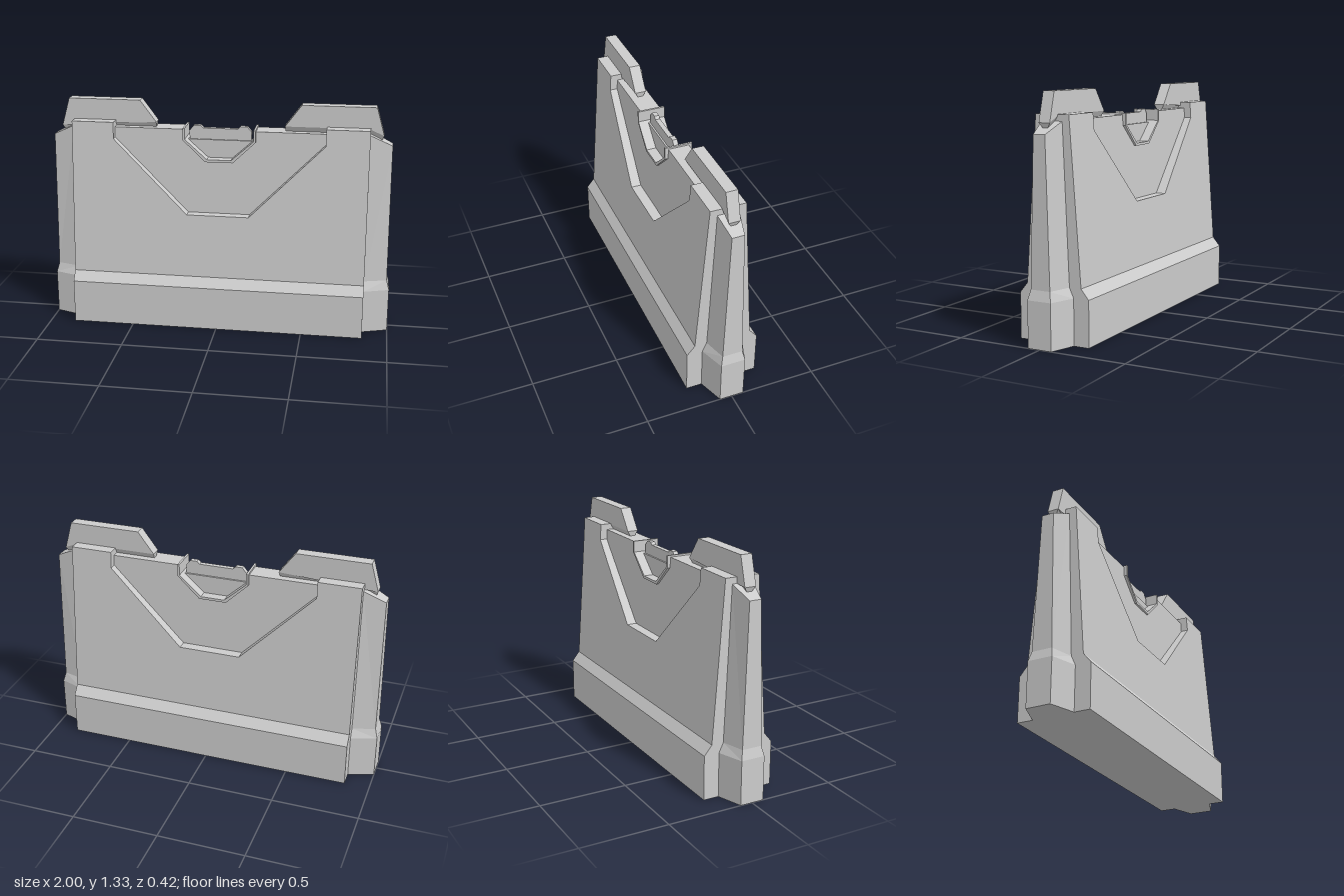
import * as THREE from 'three';

const material = new THREE.MeshStandardMaterial({ color: 0xcccccc, flatShading: true });

// Solid symmetric in z from a counter-clockwise outline of [x, y, half thickness]
function plate(name, outline) {
  const pos = [];
  const put = (p, side) => pos.push(p[0], p[1], p[2] * side);
  const flat = outline.map(p => new THREE.Vector2(p[0], p[1]));
  for (const [a, b, c] of THREE.ShapeUtils.triangulateShape(flat, [])) {
    [a, b, c].forEach(i => put(outline[i], 1));
    [c, b, a].forEach(i => put(outline[i], -1));
  }
  outline.forEach((p, i) => {
    const q = outline[(i + 1) % outline.length];
    put(p, 1); put(p, -1); put(q, -1);
    put(p, 1); put(q, -1); put(q, 1);
  });
  const geo = new THREE.BufferGeometry();
  geo.setAttribute('position', new THREE.Float32BufferAttribute(pos, 3));
  geo.computeVertexNormals();
  const mesh = new THREE.Mesh(geo, material);
  mesh.name = name;
  return mesh;
}

const flip = pts => pts.map(([x, ...rest]) => [-x, ...rest]).reverse();

// Full outline from its right half, listed from the bottom upwards
const both = half => [...half, ...flip(half)];

// Half thickness falling linearly from z0 at y0 to z1 at y1
const taper = (pts, y0, z0, y1, z1) =>
  pts.map(([x, y]) => [x, y, z0 + (z1 - z0) * (y - y0) / (y1 - y0)]);
const even = (pts, z) => pts.map(([x, y]) => [x, y, z]);

export function createModel() {
  const model = new THREE.Group();
  const add = (name, pts) => model.add(plate(name, pts));
  const addPair = (name, pts) => {
    add(name + 'Left', pts);
    add(name + 'Right', flip(pts));
  };

  // Outer shell: foot, sloped shoulder, tapering wall with a V recess
  add('foot', both([[0.855, 0, 0.21], [0.855, 0.255, 0.21]]));
  add('footShoulder', both([[0.855, 0.255, 0.21], [0.855, 0.31, 0.165]]));
  add('outerWall', taper(both([
    [0.855, 0.31], [0.855, 1.205], [0.61, 1.205], [0.61, 1.11], [0.18, 0.68],
  ]), 0.31, 0.165, 1.205, 0.10));

  // Inner wall seen inside the recess, notched at the top
  add('innerWall', taper(both([
    [0.855, 0.31], [0.855, 1.17], [0.204, 1.17], [0.204, 1.112], [0.075, 0.992],
  ]), 0.31, 0.095, 1.17, 0.06));

  // Faceted end columns
  addPair('columnFoot', [[0.855, 0, 0.12], [1, 0, 0.07], [1, 0.255, 0.07], [0.855, 0.255, 0.12]]);
  addPair('columnShoulder', [[0.855, 0.255, 0.12], [1, 0.255, 0.07], [0.985, 0.31, 0.058], [0.855, 0.31, 0.095]]);
  addPair('column', [[0.855, 0.31, 0.095], [0.985, 0.31, 0.058], [0.98, 1.11, 0.035], [0.855, 1.17, 0.06]]);

  // Top fins with a bevelled underside
  addPair('fin', even([
    [0.372, 1.2], [0.85, 1.2], [0.93, 1.165], [0.885, 1.325], [0.465, 1.325],
  ], 0.033));
  addPair('finBevel', [
    [0.376, 1.168, 0.015], [0.855, 1.168, 0.015], [0.92, 1.138, 0.015],
    [0.93, 1.165, 0.033], [0.85, 1.2, 0.033], [0.372, 1.2, 0.033],
  ]);

  // Thin trough lining the central notch
  const outer = [[0.08, 0.985], [0.21, 1.11], [0.21, 1.18]];
  const inner = [[0.198, 1.18], [0.198, 1.115], [0.07, 1.0]];
  add('notchTrough', even(both([...outer, ...inner]), 0.08));

  // Stepped centre plate standing in the trough
  add('centrePlate', even(both([[0.07, 1.0], [0.187, 1.105]]), 0.024));
  add('centreCrest', even(both([
    [0.18, 1.105], [0.18, 1.155], [0.155, 1.185], [0.115, 1.185], [0.1, 1.17],
  ]), 0.014));

  return model;
}
